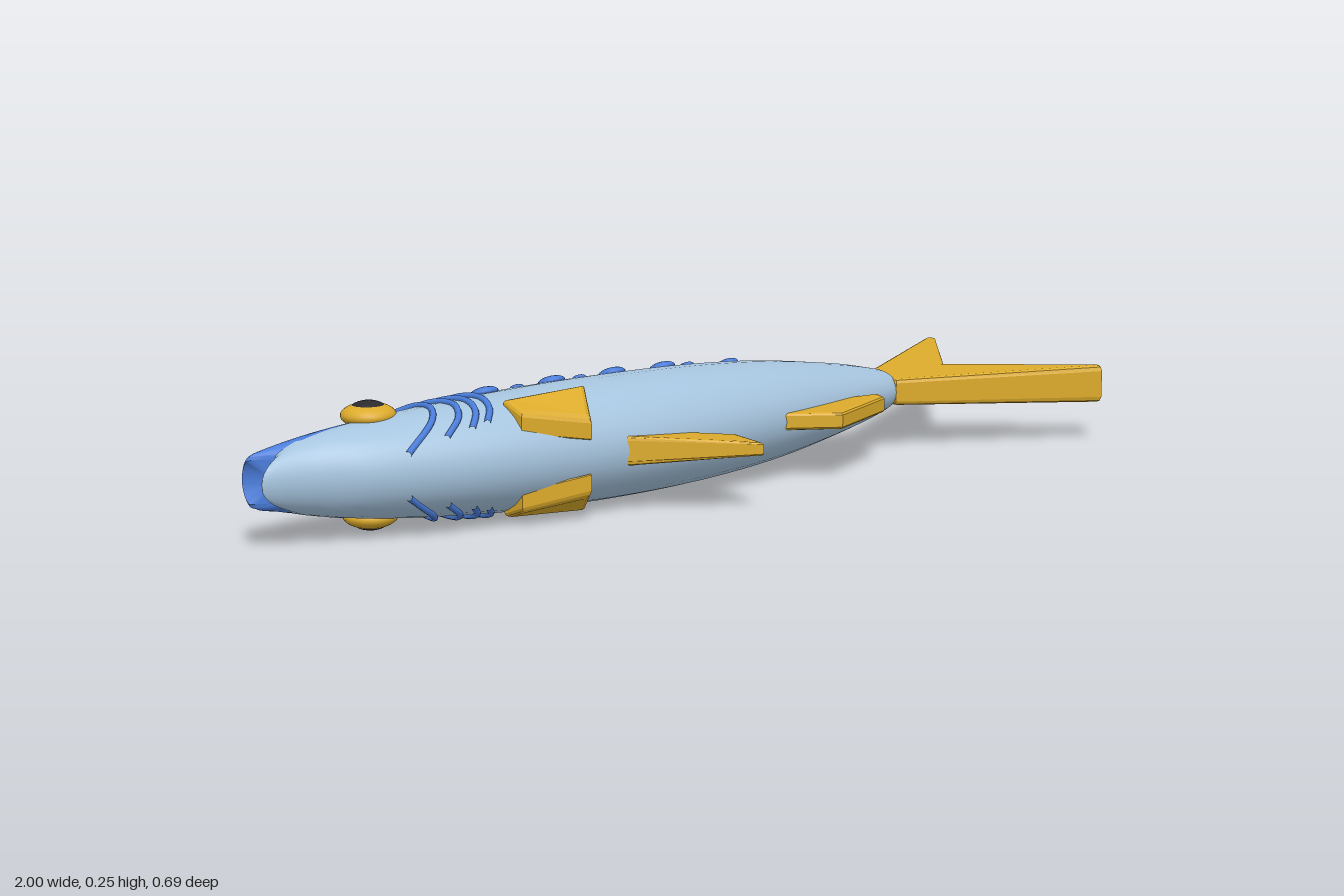
import * as THREE from 'three';

const CY = 0.128; // mid plane of the fish, which lies on its side
const mat = (name, color) => {
  const m = new THREE.MeshStandardMaterial({ color });
  m.name = name;
  return m;
};

// Body stations: x, back z, belly z, half thickness
const ROWS = [
  [-1, -0.066, -0.004, 0.042], [-0.985, -0.076, 0.004, 0.054], [-0.9, -0.09, 0.035, 0.072],
  [-0.8, -0.1, 0.09, 0.089], [-0.6, -0.111, 0.15, 0.109], [-0.4, -0.115, 0.18, 0.119],
  [-0.2, -0.115, 0.194, 0.122], [0, -0.11, 0.187, 0.118], [0.2, -0.096, 0.162, 0.104],
  [0.4, -0.066, 0.12, 0.077], [0.52, -0.043, 0.09, 0.054], [0.57, -0.028, 0.07, 0.04],
  [0.587, -0.01, 0.045, 0.02],
];
const outline = new THREE.CatmullRomCurve3(ROWS.map(r => new THREE.Vector3(r[0], r[1], r[2])), false, 'catmullrom');
const thickness = new THREE.CatmullRomCurve3(ROWS.map(r => new THREE.Vector3(r[0], r[3], 0)), false, 'catmullrom');

function section(t) {
  const o = outline.getPoint(t);
  return { x: o.x, cz: (o.y + o.z) / 2, hz: (o.z - o.y) / 2, hy: thickness.getPoint(t).y };
}

// Height of the flank above the mid plane at (x, z)
function flank(x, z) {
  let lo = 0, hi = 1;
  for (let i = 0; i < 30; i++) {
    const m = (lo + hi) / 2;
    if (outline.getPoint(m).x < x) lo = m; else hi = m;
  }
  const s = section(lo);
  return s.hy * Math.sqrt(Math.max(0, 1 - ((z - s.cz) / s.hz) ** 2));
}

// One colour of the body, from the seam line round the back or round the belly
function bodyHalf(isBack) {
  const N = 60, M = 18, pos = [], idx = [];
  const add = (x, y, z) => {
    const notch = Math.max(0, 1 - Math.abs(z + 0.022) / 0.02) * Math.max(0, 1 - (x + 1) / 0.1);
    pos.push(x + 0.05 * notch, CY + y, z);
    return pos.length / 3 - 1;
  };
  const ring = t => {
    const s = section(t);
    const seam = s.x < -0.9 ? -0.024 : -0.016;
    const a = Math.acos(THREE.MathUtils.clamp((seam - s.cz) / s.hz, -0.98, 0.98));
    const [a0, a1] = isBack ? [a, 2 * Math.PI - a] : [-a, a];
    const ids = [];
    for (let j = 0; j <= M; j++) {
      const b = a0 + (a1 - a0) * j / M;
      ids.push(add(s.x, s.hy * Math.sin(b), s.cz + s.hz * Math.cos(b)));
    }
    return { ids, x: s.x, z: s.cz + s.hz * Math.cos(a) };
  };
  let prev = null;
  for (let i = 0; i <= N; i++) {
    const { ids } = ring(i / N);
    if (prev) for (let j = 0; j < M; j++) {
      idx.push(prev[j], ids[j], prev[j + 1], ids[j], ids[j + 1], prev[j + 1]);
    }
    prev = ids;
  }
  // Nose and tail-root caps
  for (const end of [0, 1]) {
    const r = ring(end), c = add(r.x, 0, r.z);
    for (let j = 0; j < M; j++) {
      if (end) idx.push(c, r.ids[j + 1], r.ids[j]); else idx.push(c, r.ids[j], r.ids[j + 1]);
    }
  }
  const g = new THREE.BufferGeometry();
  g.setAttribute('position', new THREE.Float32BufferAttribute(pos, 3));
  g.setIndex(idx);
  g.computeVertexNormals();
  return g;
}

// Bevelled fin from an (x, z) outline; half() gives its thickness, mid() its height
function finGeometry(pts, half, mid = () => 0) {
  const g = new THREE.ExtrudeGeometry(new THREE.Shape(pts.map(p => new THREE.Vector2(...p))), {
    depth: 1.4, bevelEnabled: true, bevelThickness: 0.3, bevelSize: 0.01, bevelOffset: -0.01, bevelSegments: 2,
  });
  g.translate(0, 0, -0.7).rotateX(Math.PI / 2);
  const p = g.attributes.position;
  for (let i = 0; i < p.count; i++) {
    const x = p.getX(i), z = p.getZ(i);
    p.setY(i, CY + mid(x, z) + p.getY(i) * half(x, z));
  }
  g.computeVertexNormals();
  return g;
}

export function createModel() {
  const root = new THREE.Group();
  root.name = 'fish';
  const blue = mat('backBlue', 0x4a7ddb), silver = mat('bellySilver', 0xa6c4de);
  const gold = mat('finGold', 0xdcab2c), dark = mat('pupilDark', 0x2b2b2e);
  const add = (name, geo, m, x = 0, y = 0, z = 0) => {
    const mesh = new THREE.Mesh(geo, m);
    mesh.name = name;
    mesh.position.set(x, y, z);
    root.add(mesh);
    return mesh;
  };

  add('back', bodyHalf(true), blue);
  add('belly', bodyHalf(false), silver);

  // Fins on the centre line
  add('tailFin', finGeometry([[0.555, -0.025], [0.985, -0.247], [1, -0.225], [0.77, 0.02], [1, 0.28], [0.985, 0.297], [0.56, 0.075]],
    x => 0.029 + 0.013 * (x - 0.56) / 0.44), gold);
  add('dorsalFin', finGeometry([[-0.48, -0.07], [-0.16, -0.347], [-0.153, -0.235], [0.03, -0.07]],
    (x, z) => 0.009 + 0.2 * (z + 0.347)), gold);
  add('pelvicFin', finGeometry([[-0.33, 0.16], [-0.08, 0.345], [-0.055, 0.235], [-0.16, 0.16]],
    x => 0.03 - 0.075 * (x + 0.3)), gold);
  add('analFin', finGeometry([[0.1, 0.14], [0.24, 0.236], [0.44, 0.158], [0.455, 0.122], [0.3, 0.1]],
    () => 0.018), gold);

  for (const s of [1, -1]) {
    const side = s > 0 ? 'upper' : 'lower';
    // Pectoral fin, leaning with the flank
    add(side + 'PectoralFin', finGeometry([[-0.515, 0.085], [-0.33, 0.1], [-0.38, 0.185], [-0.515, 0.142]],
      () => 0.022, (x, z) => s * (0.105 - 4.5 * Math.max(0, z - 0.085) ** 2 - 0.1 * (z - 0.085) - 0.09 * Math.max(0, -0.38 - x))), gold);

    // Eye: gold rim with a dark domed pupil
    const ex = -0.745, ez = -0.03, ey = CY + s * (flank(ex, ez) + 0.006);
    const rim = add(side + 'EyeRim', new THREE.SphereGeometry(0.053, 32, 16), gold, ex, ey, ez);
    rim.scale.y = 0.45;
    const pupil = add(side + 'Pupil', new THREE.SphereGeometry(0.038, 32, 16), dark, ex, ey + s * 0.007, ez);
    pupil.scale.y = 0.55;

    // Gill arcs lying on the flank
    const gills = [
      [[-0.675, -0.06], [-0.645, -0.02], [-0.645, 0.03], [-0.675, 0.075], [-0.745, 0.1]],
      [[-0.65, -0.06], [-0.61, -0.015], [-0.6, 0.04], [-0.62, 0.085], [-0.665, 0.11]],
      [[-0.615, -0.06], [-0.58, -0.015], [-0.568, 0.035], [-0.58, 0.085], [-0.61, 0.115]],
      [[-0.58, -0.062], [-0.548, -0.015], [-0.536, 0.035], [-0.548, 0.085], [-0.575, 0.115]],
    ];
    gills.forEach((pts, i) => {
      const path = new THREE.CatmullRomCurve3(pts.map(([x, z]) => new THREE.Vector3(x, CY + s * (flank(x, z) + 0.002), z)));
      add(side + 'Gill' + (i + 1), new THREE.TubeGeometry(path, 20, 0.0065, 8), blue);
    });

    // Row of spots along the flank
    const spots = [[-0.483, 0.029], [-0.404, 0.014], [-0.318, 0.028], [-0.248, 0.014],
      [-0.163, 0.028], [-0.03, 0.027], [0.037, 0.015], [0.152, 0.021]];
    spots.forEach(([x, r], i) => {
      const z = -0.02;
      const spot = add(side + 'Spot' + (i + 1), new THREE.SphereGeometry(r, 20, 12), blue, x, CY + s * flank(x, z), z);
      spot.scale.y = 0.4;
      spot.rotation.x = -s * 0.35;
    });
  }
  return root;
}
